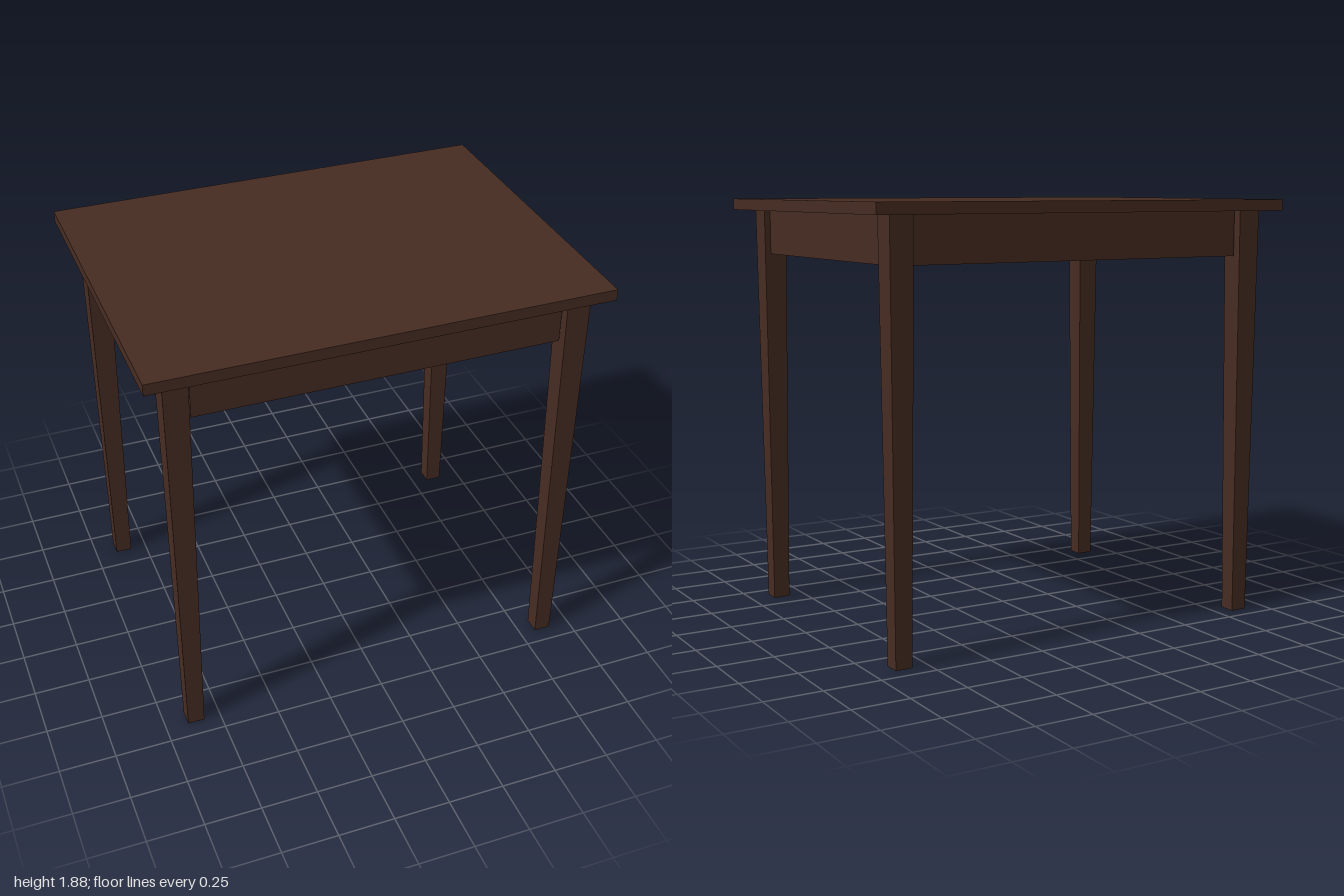
import * as THREE from 'three';

export function createModel() {
  const table = new THREE.Group();
  table.name = 'table';
  const darkWood = new THREE.MeshStandardMaterial({ color: 0x472c22, flatShading: true });
  darkWood.name = 'darkWood';

  const add = (name, geometry, x, y, z) => {
    const mesh = new THREE.Mesh(geometry, darkWood);
    mesh.name = name;
    mesh.position.set(x, y, z);
    table.add(mesh);
  };

  // Table top
  const topHeight = 1.875, topThickness = 0.05;
  const underside = topHeight - topThickness;
  add('tableTop', new THREE.BoxGeometry(2, topThickness, 1.5), 0, topHeight - topThickness / 2, 0);

  // Square legs, tapering towards the floor
  const legX = 0.8625, legZ = 0.6385;
  const legGeometry = new THREE.CylinderGeometry(0.075, 0.0527, underside, 4).rotateY(Math.PI / 4);
  for (const [zName, sz] of [['front', 1], ['back', -1]]) {
    for (const [xName, sx] of [['Left', 1], ['Right', -1]]) {
      add(`${zName}${xName}Leg`, legGeometry, sx * legX, underside / 2, sz * legZ);
    }
  }

  // Aprons between the legs
  const apronHeight = 0.2, apronThickness = 0.05;
  const apronY = underside - apronHeight / 2;
  const longApron = new THREE.BoxGeometry(1.6, apronHeight, apronThickness);
  const shortApron = new THREE.BoxGeometry(apronThickness, apronHeight, 1.2);
  add('frontApron', longApron, 0, apronY, legZ);
  add('backApron', longApron, 0, apronY, -legZ);
  add('leftApron', shortApron, legX, apronY, 0);
  add('rightApron', shortApron, -legX, apronY, 0);

  return table;
}
